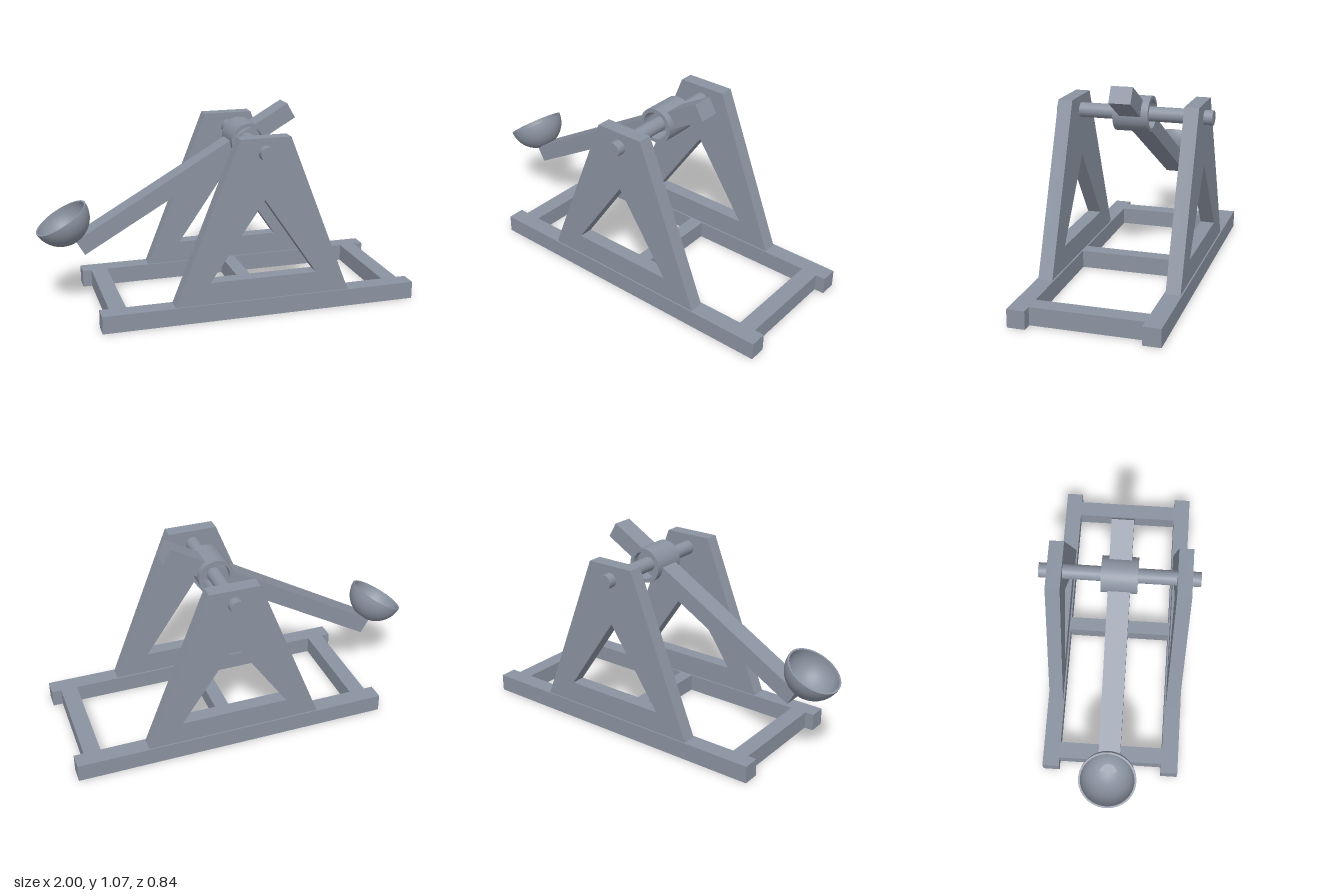
import * as THREE from 'three';
import { mergeGeometries } from 'three/addons/utils/BufferGeometryUtils.js';

const PIVOT = [0.135, 0.885]; // axle centre in x, y

export function createModel() {
  const model = new THREE.Group();
  model.name = 'catapult';
  const grey = new THREE.MeshStandardMaterial({ color: 0x8b93a1 });
  grey.name = 'slate grey';

  const add = (parent, name, geometry, x = 0, y = 0, z = 0) => {
    const mesh = new THREE.Mesh(geometry, grey);
    mesh.name = name;
    mesh.position.set(x, y, z);
    parent.add(mesh);
    return mesh;
  };
  const box = (w, h, d) => new THREE.BoxGeometry(w, h, d);

  // Turned solid with sharp edges: one lathe per profile run, merged
  const turned = (runs, sides = 48) => mergeGeometries(runs.map((run) =>
    new THREE.LatheGeometry(run.map(([r, y]) => new THREE.Vector2(r, y)), sides)));
  const arc = (r, from, to, n = 16) => Array.from({ length: n + 1 }, (_, i) => {
    const a = from + (to - from) * i / n;
    return [Math.max(0, r * Math.cos(a)), r * Math.sin(a)];
  });

  // Triangular side frame with a triangular opening
  const points = (list) => list.map(([x, y]) => new THREE.Vector2(x, y));
  const outline = new THREE.Shape(points([[-0.344, 0.095], [0.614, 0.095], [0.27, 0.962], [0, 0.962]]));
  outline.holes.push(new THREE.Path(points([[-0.157, 0.213], [0.135, 0.638], [0.427, 0.213]])));
  const frame = new THREE.ExtrudeGeometry(outline, { depth: 0.077, bevelEnabled: false });
  frame.translate(0, 0, -0.0385);

  // Base rails and side frames on both sides
  for (const [side, z] of [['front', 1], ['back', -1]]) {
    add(model, side + 'Rail', box(1.725, 0.095, 0.093), 0.135, 0.0475, z * 0.336);
    add(model, side + 'SideFrame', frame, 0, 0, z * 0.3365);
  }

  // Cross bars between the rails
  [['left', 0.9, 0.09], ['middle', 0.135, 0.078], ['right', -0.633, 0.09]].forEach(([name, x, w]) =>
    add(model, name + 'CrossBar', box(w, 0.095, 0.579), x, 0.0475, 0));

  // Axle through the frames
  add(model, 'axle', new THREE.CylinderGeometry(0.039, 0.039, 0.844, 32), ...PIVOT, 0).rotation.x = Math.PI / 2;

  // Hollow hub around the axle
  const [R, r, h] = [0.095, 0.075, 0.095];
  const hub = turned([[[R, -h], [R, h]], [[R, h], [r, h]], [[r, h], [r, -h]], [[r, -h], [R, -h]]]);
  add(model, 'hub', hub, ...PIVOT, 0).rotation.x = Math.PI / 2;

  // Throwing arm and bowl, tilted about the axle
  const arm = new THREE.Group();
  arm.name = 'throwingArm';
  arm.position.set(...PIVOT, 0);
  arm.rotation.z = Math.PI / 6;
  model.add(arm);
  add(arm, 'armBeam', box(1.343, 0.092, 0.115), -0.3835, 0, 0);
  const bowl = turned([
    arc(0.152, -Math.PI / 2, 0),
    [[0.152, 0], [0.142, 0]],
    arc(0.142, 0, -Math.PI / 2),
  ]);
  add(arm, 'bowl', bowl, -1.054, 0.181, 0);

  return model;
}
